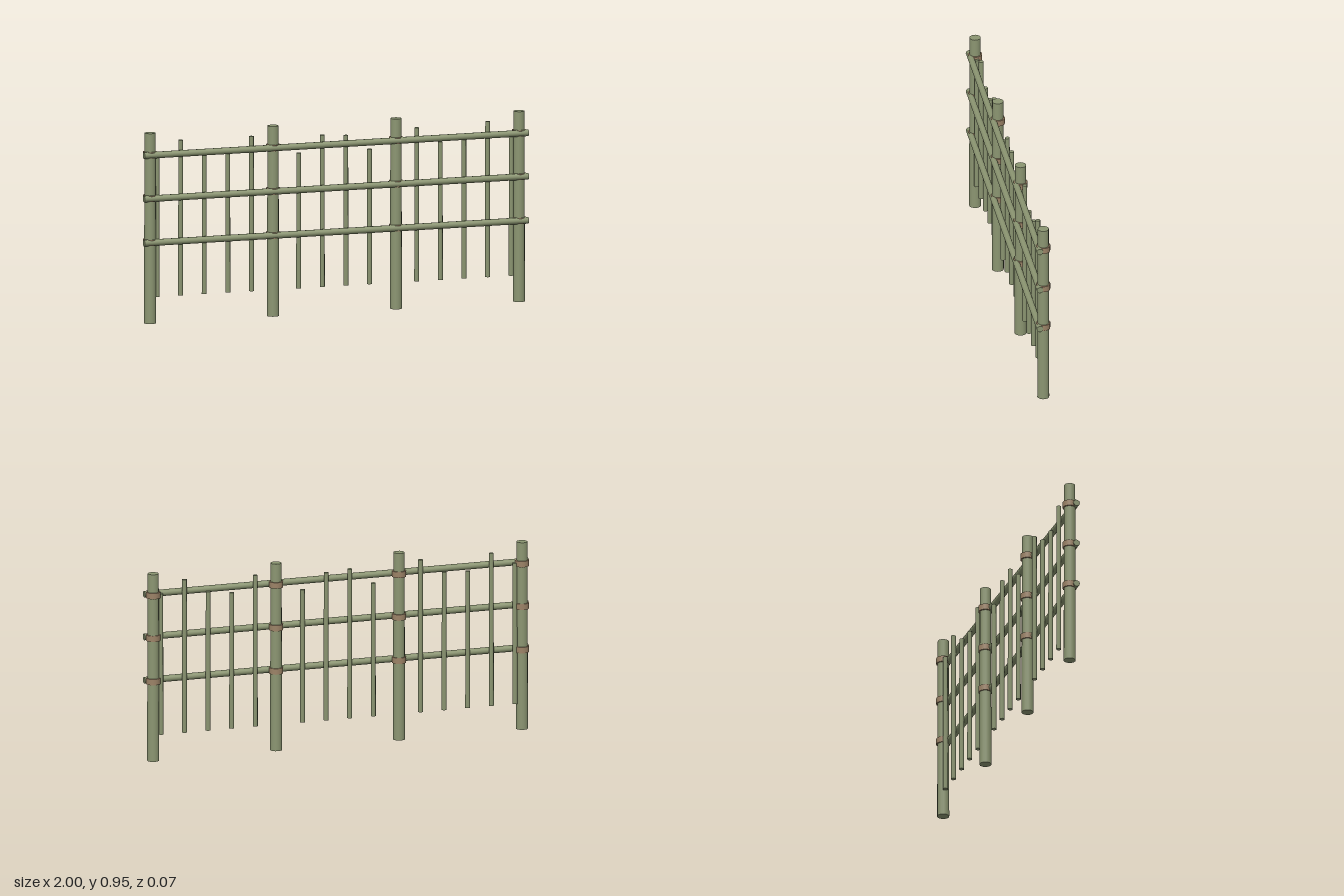
import * as THREE from 'three';

export function createModel() {
  const group = new THREE.Group();
  const bamboo = new THREE.MeshStandardMaterial({ color: 0x8c9672 });
  bamboo.name = 'green bamboo';
  const rope = new THREE.MeshStandardMaterial({ color: 0x9c8367 });
  rope.name = 'tan rope';

  // Upright pole from y0 to y1, slightly tapered
  function pole(name, x, z, y0, y1, rTop, rBottom, sides, material) {
    const mesh = new THREE.Mesh(
      new THREE.CylinderGeometry(rTop, rBottom, y1 - y0, sides), material);
    mesh.position.set(x, (y0 + y1) / 2, z);
    mesh.name = name;
    group.add(mesh);
  }

  const railHeights = [0.405, 0.625, 0.842];
  const postZ = -0.002;

  // Posts, each lashed to every rail
  for (const x of [-0.96, -0.32, 0.32, 0.96]) {
    pole('post', x, postZ, 0, 0.95, 0.0275, 0.03, 14, bamboo);
    for (const y of railHeights) {
      pole('ropeLashing', x, postZ, y - 0.015, y + 0.015, 0.035, 0.035, 16, rope);
    }
  }

  // Horizontal rails across the front
  for (const y of railHeights) {
    const rail = new THREE.Mesh(new THREE.CylinderGeometry(0.0165, 0.0165, 2, 10), bamboo);
    rail.rotation.z = Math.PI / 2;
    rail.position.set(0, y, 0.021);
    rail.name = 'rail';
    group.add(rail);
  }

  // Thin pickets of uneven height; 0 leaves the gap taken by a post
  const tops = [0.845, 0.905, 0.825, 0.83, 0.903, 0, 0.806, 0.888,
    0.88, 0.804, 0, 0.897, 0.82, 0.835, 0.907, 0.845];
  tops.forEach((top, i) => {
    if (top) pole('picket', -0.923 + i * 0.1229, -0.004, 0.13, top, 0.012, 0.013, 8, bamboo);
  });

  return group;
}
